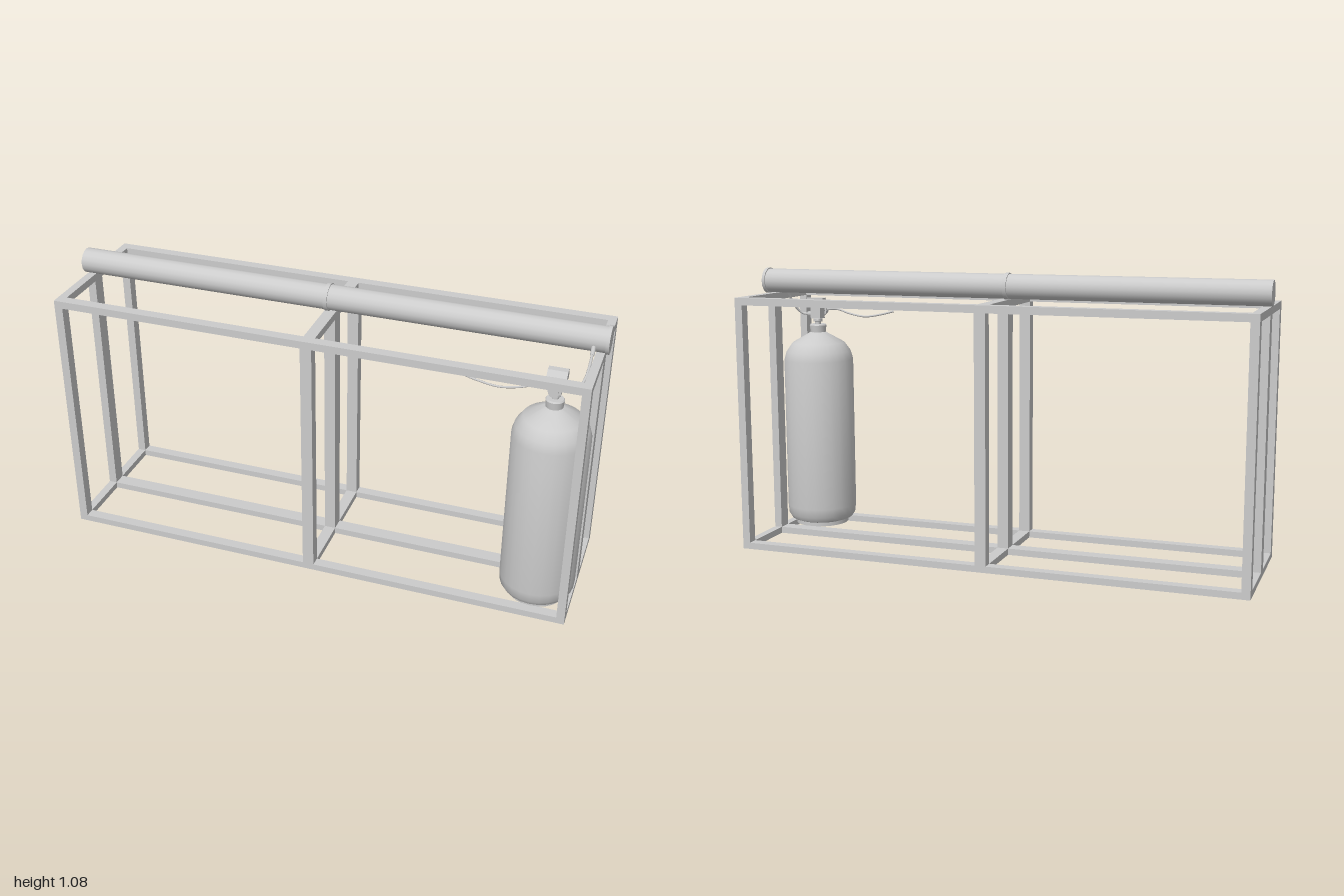
import * as THREE from 'three';
import { toCreasedNormals } from 'three/addons/utils/BufferGeometryUtils.js';

export function createModel() {
  const root = new THREE.Group();
  const mat = new THREE.MeshStandardMaterial({ color: 0xcccccc });

  function add(parent, name, geo, x = 0, y = 0, z = 0) {
    const mesh = new THREE.Mesh(geo, mat);
    mesh.name = name;
    mesh.position.set(x, y, z);
    parent.add(mesh);
    return mesh;
  }
  // Box given by its limits on each axis
  function bar(parent, name, [x0, x1], [y0, y1], [z0, z1]) {
    return add(parent, name, new THREE.BoxGeometry(x1 - x0, y1 - y0, z1 - z0),
      (x0 + x1) / 2, (y0 + y1) / 2, (z0 + z1) / 2);
  }
  function lathe(points, sides) {
    const pts = points.map(([r, y]) => new THREE.Vector2(r, y));
    return toCreasedNormals(new THREE.LatheGeometry(pts, sides), 0.6);
  }
  function hose(parent, name, points, radius) {
    const curve = new THREE.CatmullRomCurve3(points.map(p => new THREE.Vector3(...p)));
    return add(parent, name, new THREE.TubeGeometry(curve, 32, radius, 8));
  }

  // Frame: three rows of posts joined by rails
  const frame = new THREE.Group();
  frame.name = 'frame';
  root.add(frame);
  const columns = [[-0.995, -0.963], [-0.028, 0.015], [0.955, 0.985]];
  const rows = [[-0.28, -0.24], [-0.026, 0.028], [0.24, 0.28]];
  const low = [0, 0.025], high = [0.957, 0.985];
  for (const cx of columns) {
    for (const rz of rows) bar(frame, 'post', cx, [0.025, 0.957], rz);
    bar(frame, 'lowerCrossbar', cx, low, [-0.28, 0.28]);
    bar(frame, 'upperCrossbar', cx, high, [-0.28, 0.28]);
  }
  for (let c = 0; c < 2; c++) {
    const span = [columns[c][1], columns[c + 1][0]];
    rows.forEach((rz, i) => {
      bar(frame, 'lowerRail', span, low, rz);
      if (i !== 1) bar(frame, 'upperRail', span, high, rz);
    });
  }

  // Long roll lying on top, with a middle collar and an end cap
  const roll = new THREE.Group();
  roll.name = 'roll';
  roll.position.set(0, 1.033, 0.005);
  root.add(roll);
  const rollPart = (name, x0, x1, r) => {
    const g = new THREE.CylinderGeometry(r, r, x1 - x0, 16);
    g.rotateZ(Math.PI / 2);
    add(roll, name, g, (x0 + x1) / 2);
  };
  rollPart('rollTube', -1, 0.993, 0.047);
  rollPart('rollCollar', -0.024, -0.009, 0.051);
  rollPart('rollEndCap', 0.988, 1, 0.051);

  // Gas tank standing in the front corner
  const tank = new THREE.Group();
  tank.name = 'tank';
  tank.position.set(0.85, 0, 0.137);
  root.add(tank);
  add(tank, 'tankBody', lathe([[0, 0.035], [0.1, 0.036], [0.125, 0.046], [0.137, 0.065],
    [0.14, 0.1], [0.14, 0.705], [0.13, 0.74], [0.105, 0.775], [0.03, 0.818], [0, 0.82]], 24));
  add(tank, 'tankFoot', new THREE.CylinderGeometry(0.107, 0.107, 0.018, 24), 0, 0.032);
  add(tank, 'tankNeck', lathe([[0, 0.81], [0.03, 0.81], [0.034, 0.845], [0.03, 0.85], [0, 0.85]], 16));

  // Valve on the neck: stem, wedge-topped body and front outlet
  const valve = new THREE.Group();
  valve.name = 'valve';
  tank.add(valve);
  add(valve, 'valveStem', lathe([[0, 0.845], [0.012, 0.845], [0.012, 0.858], [0.018, 0.86],
    [0.018, 0.87], [0.013, 0.876], [0, 0.876]], 12));
  function wedge(name, width, points) {
    const shape = new THREE.Shape(points.map(p => new THREE.Vector2(...p)));
    const g = new THREE.ExtrudeGeometry(shape, { depth: width, bevelEnabled: false });
    g.translate(0, 0, -width / 2);
    g.rotateY(-Math.PI / 2);
    add(valve, name, g);
  }
  wedge('valveBody', 0.042, [[-0.022, 0.873], [0.02, 0.873], [0.02, 0.93], [-0.022, 0.93]]);
  wedge('valveHead', 0.07, [[-0.024, 0.925], [0.02, 0.925], [0.018, 0.938], [0.002, 0.957], [-0.024, 0.957]]);
  for (const [z0, z1, r] of [[0.018, 0.036, 0.017], [0.03, 0.043, 0.024], [0.043, 0.052, 0.014], [0.05, 0.062, 0.018]]) {
    const g = new THREE.CylinderGeometry(r, r, z1 - z0, 12);
    g.rotateX(Math.PI / 2);
    add(valve, 'valveOutlet', g, 0, 0.902, (z0 + z1) / 2);
  }
  const fitting = new THREE.CylinderGeometry(0.011, 0.011, 0.025, 6);
  fitting.rotateZ(Math.PI / 2);
  add(valve, 'hoseFitting', fitting, 0.03, 0.89, 0);

  // Loose hose to the side and a feed hose up to the roll
  hose(root, 'looseHose', [[0.53, 0.907, 0.18], [0.59, 0.892, 0.18], [0.66, 0.882, 0.18],
    [0.73, 0.893, 0.18], [0.78, 0.908, 0.18], [0.845, 0.905, 0.18]], 0.004);
  hose(root, 'feedHose', [[0.88, 0.89, 0.137], [0.915, 0.893, 0.132], [0.937, 0.92, 0.113],
    [0.945, 0.955, 0.09], [0.948, 1.0, 0.06], [0.948, 1.025, 0.045]], 0.005);
  const cuff = new THREE.CylinderGeometry(0.008, 0.008, 0.03, 10);
  add(root, 'hoseCuff', cuff, 0.948, 1.008, 0.053).rotation.x = -0.55;

  return root;
}
